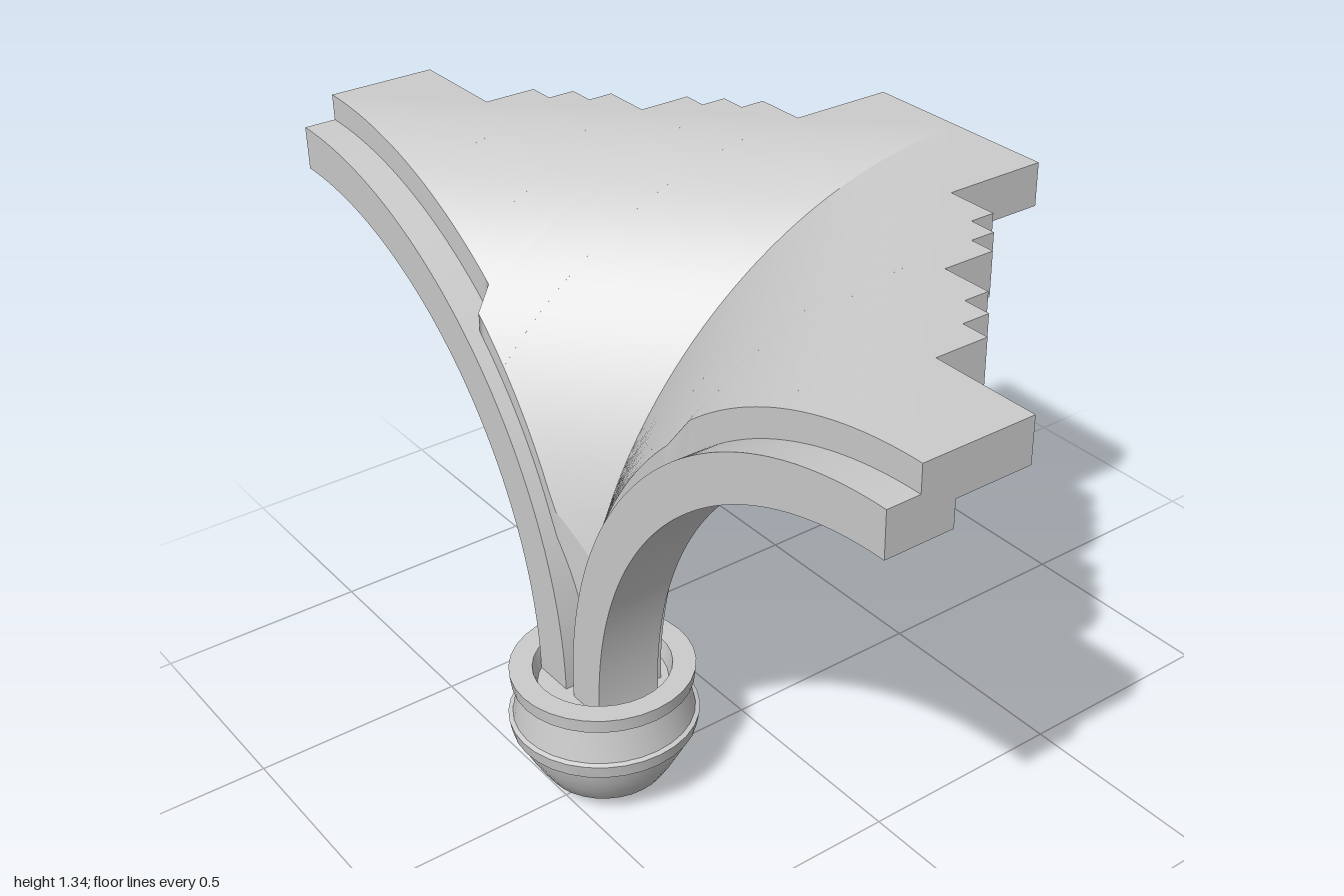
import * as THREE from 'three';
import { toCreasedNormals } from 'three/addons/utils/BufferGeometryUtils.js';

const material = new THREE.MeshStandardMaterial({ color: 0xcccccc });
const SPRING = 0.29;   // height of the arch centres
const RIB_IN = 0.885, RIB_OUT = 0.985, WEB_OUT = 1.045, WEB_IN = 0.945;
const AXIS_Z = 0.4;    // plan position of the springing point

// height of a quarter arch of radius r at distance t from the springing point
const arch = (r, t) => {
  const c = Math.max(0, 1 - t);
  return SPRING + Math.sqrt(Math.max(0, r * r - c * c));
};

function addMesh(parent, name, geometry) {
  const mesh = new THREE.Mesh(geometry, material);
  mesh.name = name;
  parent.add(mesh);
  return mesh;
}

// quarter arch rib running along +x, with a short stub into the cup
function ribGeometry(width) {
  const s = new THREE.Shape();
  s.moveTo(1 - RIB_OUT, 0.25);
  s.lineTo(1 - RIB_OUT, SPRING);
  s.absarc(1, SPRING, RIB_OUT, Math.PI, Math.PI / 2, true);
  s.lineTo(1, SPRING + RIB_IN);
  s.absarc(1, SPRING, RIB_IN, Math.PI / 2, Math.PI, false);
  s.lineTo(1 - RIB_IN, 0.25);
  const g = new THREE.ExtrudeGeometry(s, { depth: width, bevelEnabled: false, curveSegments: 40 });
  g.translate(0, 0, -width / 2);
  return toCreasedNormals(g, 0.5);
}

// height of the web's upper or lower skin above a plan position
function webHeight(x, z, upper) {
  const a = Math.abs(x), d = AXIS_Z - z, s = a + d;
  if (upper) return arch(WEB_OUT, s);
  const low = s < 0.4 ? 0.59 + (s - 0.16) * 1.77 : arch(WEB_IN, s);
  return Math.max(low, arch(RIB_IN, Math.max(a, d)) + 0.02);
}

// one strip of web between x0 and x1, reaching back to zBack
function webStrip(x0, x1, zBack) {
  const nx = Math.ceil(Math.abs(x1 - x0) / 0.02);
  const g = new THREE.BoxGeometry(1, 1, 1, nx, 1, 40);
  const p = g.attributes.position;
  for (let i = 0; i < p.count; i++) {
    const x = x0 + (x1 - x0) * (p.getX(i) + 0.5);
    const a = Math.abs(x);
    // low down, the web laps forward over the rib
    const zFront = AXIS_Z + (a < 0.35 ? Math.min(0.04, a * 0.5) : 0);
    const z = zBack + (zFront - zBack) * (p.getZ(i) + 0.5);
    p.setXYZ(i, x, webHeight(x, z, p.getY(i) > 0), z);
  }
  g.computeVertexNormals();
  return g;
}

function cupGeometry() {
  const profile = [
    [0, 0], [0.09, 0.012], [0.14, 0.05], [0.165, 0.09], [0.187, 0.13], [0.199, 0.168],
    [0.208, 0.168], [0.214, 0.2], [0.204, 0.204], [0.197, 0.24], [0.188, 0.288],
    [0.203, 0.288], [0.207, 0.322], [0.155, 0.322], [0.145, 0.28], [0, 0.28],
  ].map(([r, y]) => new THREE.Vector2(r, y));
  return toCreasedNormals(new THREE.LatheGeometry(profile, 32), 0.45);
}

export function createModel() {
  const model = new THREE.Group();
  model.name = 'vaultSpringer';

  // pendant cup under the springing
  addMesh(model, 'corbelCup', cupGeometry()).position.z = 0.387;

  // two side ribs and one back rib
  const rib = ribGeometry(0.155);
  addMesh(model, 'leftRib', rib).position.z = 0.3975;
  const right = addMesh(model, 'rightRib', rib);
  right.position.z = 0.3975;
  right.rotation.y = Math.PI;
  const back = addMesh(model, 'backRib', rib);
  back.rotation.y = Math.PI / 2;
  back.position.z = AXIS_Z;

  // curved webs with a toothed outer edge: strip start, end and back limit
  const strips = [
    [0, 0.25, -0.6], [0.25, 0.375, -0.35], [0.375, 0.44, -0.29], [0.44, 0.5, -0.23],
    [0.5, 0.62, -0.105], [0.62, 0.685, -0.045], [0.685, 0.75, 0.02], [0.75, 1, 0.145],
  ];
  for (const side of [1, -1]) {
    const web = new THREE.Group();
    web.name = side > 0 ? 'leftWeb' : 'rightWeb';
    for (const [a, b, z] of strips) {
      addMesh(web, 'webCourse', side > 0 ? webStrip(a, b, z) : webStrip(-b, -a, z));
    }
    model.add(web);
  }
  return model;
}
